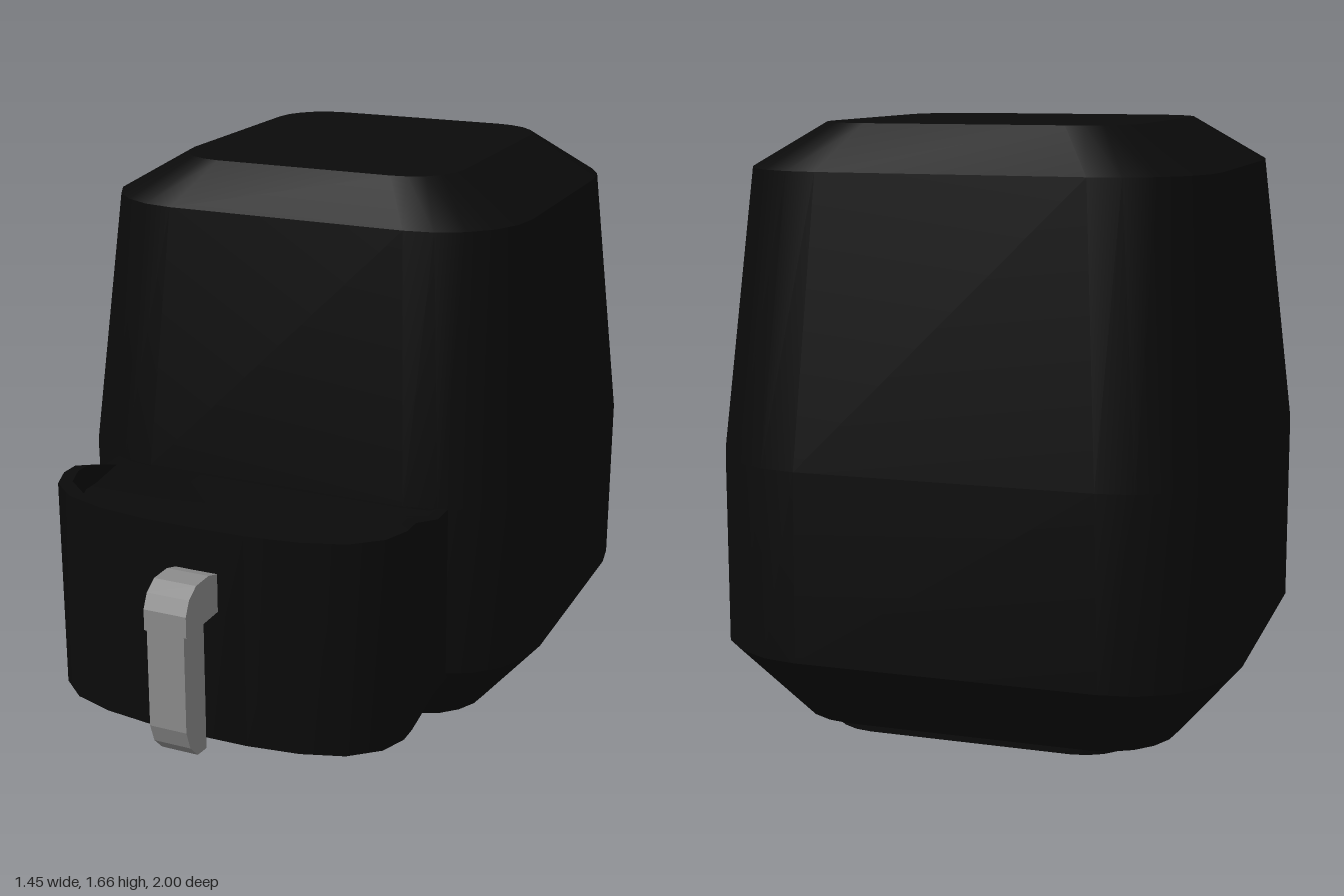
import * as THREE from 'three';
import { toCreasedNormals } from 'three/addons/utils/BufferGeometryUtils.js';

const black = new THREE.MeshStandardMaterial({ color: 0x0a0a0a });
const grey = new THREE.MeshStandardMaterial({ color: 0x8c8c8c });

// Closed skin through rings of points, listed from the bottom up
function loft(rings) {
  const pos = [];
  const tri = (...pts) => pts.forEach((p) => pos.push(p.x, p.y, p.z));
  const n = rings[0].length;
  const middle = (ring) => ring.reduce((s, p) => s.add(p), new THREE.Vector3()).divideScalar(n);
  const last = rings[rings.length - 1];
  const low = middle(rings[0]), high = middle(last);
  for (let j = 0; j < n; j++) {
    const k = (j + 1) % n;
    for (let i = 0; i < rings.length - 1; i++) {
      const a = rings[i][j], b = rings[i][k], c = rings[i + 1][j], d = rings[i + 1][k];
      tri(a, c, b);
      tri(b, c, d);
    }
    tri(low, rings[0][j], rings[0][k]);
    tri(high, last[k], last[j]);
  }
  const g = new THREE.BufferGeometry();
  g.setAttribute('position', new THREE.Float32BufferAttribute(pos, 3));
  return toCreasedNormals(g, 0.5);
}

// Horizontal rounded rectangle
function roundedRing(y, halfX, zBack, zFront, r, steps = 5) {
  const pts = [];
  const hz = (zFront - zBack) / 2, cz = (zFront + zBack) / 2;
  [[1, 1], [-1, 1], [-1, -1], [1, -1]].forEach(([sx, sz], q) => {
    for (let i = 0; i <= steps; i++) {
      const a = (q + i / steps) * Math.PI / 2;
      pts.push(new THREE.Vector3(
        sx * (halfX - r) + r * Math.cos(a), y, cz + sz * (hz - r) + r * Math.sin(a)));
    }
  });
  return pts;
}

// Side profile (z, y) given a width along x
function sideExtrude(points, width, x) {
  const shape = new THREE.Shape(points.map(([z, y]) => new THREE.Vector2(z, y)));
  const g = new THREE.ExtrudeGeometry(shape, { depth: width, bevelEnabled: false });
  g.rotateY(-Math.PI / 2);
  g.translate(x + width / 2, 0, 0);
  return g;
}

export function createModel() {
  const model = new THREE.Group();
  const add = (name, geometry, material) => {
    const mesh = new THREE.Mesh(geometry, material);
    mesh.name = name;
    model.add(mesh);
  };

  // Tapered housing with chamfered top and bottom
  add('housing', loft([
    roundedRing(0.025, 0.54, -0.82, 0.16, 0.2),
    roundedRing(0.25, 0.725, -1, 0.31, 0.31),
    roundedRing(0.77, 0.725, -1, 0.33, 0.32),
    roundedRing(1.54, 0.64, -0.92, 0.25, 0.28),
    roundedRing(1.66, 0.43, -0.8, 0.12, 0.16),
  ]), black);

  // Low plinth
  add('base', loft([
    roundedRing(0, 0.435, -0.8, -0.04, 0.15),
    roundedRing(0.03, 0.435, -0.8, -0.04, 0.15),
  ]), black);

  // Basket drawer with a bowed front and a raised rim above and below
  const half = [[0.53, 0.2], [0.53, 0.38], [0.53, 0.55], [0.53, 0.61], [0.5, 0.69],
    [0.42, 0.76], [0.3, 0.8], [0.15, 0.82]];
  const outline = [...half, [0, 0.823], ...half.map(([x, z]) => [-x, z]).reverse()];
  const slope = (z) => THREE.MathUtils.clamp((z - 0.38) / 0.17, 0, 1);
  const top = (z) => 0.77 + 0.053 * slope(z);
  const bottom = (z) => 0.23 - 0.03 * slope(z);
  const ring = (s, height) => outline.map(([x, z]) =>
    new THREE.Vector3(x * s, height(z), 0.2 + (z - 0.2) * s));
  add('drawer', loft([
    ring(0.91, () => 0.23),
    ring(0.94, bottom),
    ring(1, bottom),
    ring(1, top),
    ring(0.94, top),
    ring(0.91, () => 0.765),
  ]), black);

  // Handle: short arm and hanging grip
  add('handleArm', sideExtrude([[0.8, 0.59], [1, 0.59], [1, 0.65], [0.98, 0.69],
    [0.94, 0.715], [0.87, 0.715], [0.82, 0.7], [0.8, 0.7]], 0.125, 0.008), grey);
  add('handleGrip', sideExtrude([[0.89, 0.6], [0.89, 0.21], [0.94, 0.215],
    [0.98, 0.255], [1, 0.31], [1, 0.6]], 0.11, 0.008), grey);

  return model;
}
